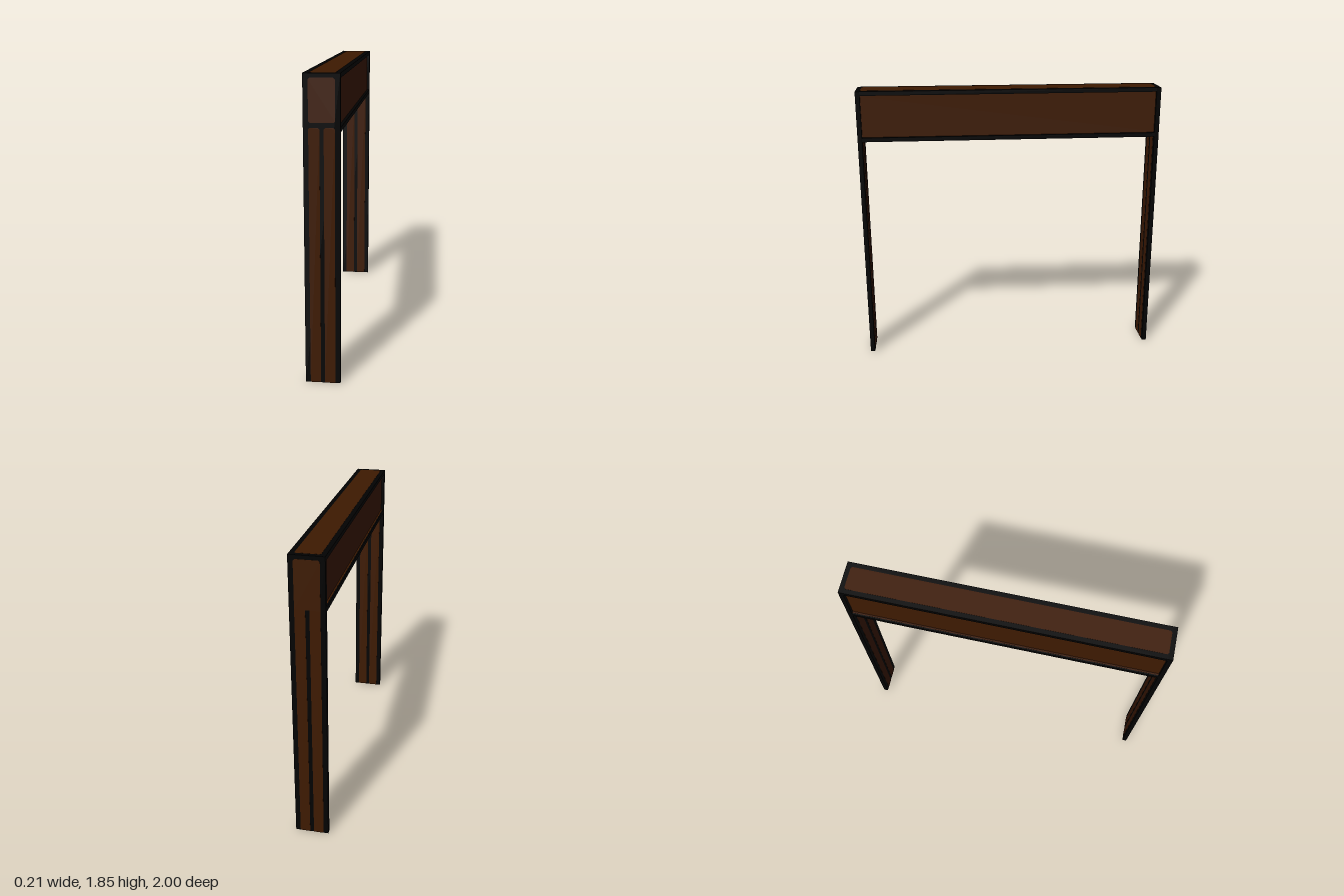
import * as THREE from 'three';

export function createModel() {
  const root = new THREE.Group();
  const frame = new THREE.MeshStandardMaterial({ color: 0x020202 });
  frame.name = 'black frame';
  const wood = new THREE.MeshStandardMaterial({ color: 0x3e1a01 });
  wood.name = 'dark brown wood';

  // Box given by its min and max corners
  function box(name, mat, x0, x1, y0, y1, z0, z1) {
    const m = new THREE.Mesh(new THREE.BoxGeometry(x1 - x0, y1 - y0, z1 - z0), mat);
    m.position.set((x0 + x1) / 2, (y0 + y1) / 2, (z0 + z1) / 2);
    m.name = name;
    root.add(m);
  }

  // Thin plate in the XY plane facing +z, with clipped corners (c0 bottom, c1 top)
  const T = 0.001;
  function plate(name, x0, x1, y0, y1, c0, c1, parent) {
    const s = new THREE.Shape();
    s.moveTo(x0 + c0, y0);
    s.lineTo(x1 - c0, y0);
    s.lineTo(x1, y0 + c0);
    s.lineTo(x1, y1 - c1);
    s.lineTo(x1 - c1, y1);
    s.lineTo(x0 + c1, y1);
    s.lineTo(x0, y1 - c1);
    s.lineTo(x0, y0 + c0);
    s.closePath();
    const m = new THREE.Mesh(new THREE.ExtrudeGeometry(s, { depth: T, bevelEnabled: false }), wood);
    m.name = name;
    parent.add(m);
  }

  // Group whose local +z is the outward direction of a face
  function face(name, x, y, z, rx, ry) {
    const g = new THREE.Group();
    g.name = name;
    g.position.set(x, y, z);
    g.rotation.set(rx, ry, 0);
    root.add(g);
    return g;
  }

  const W = 0.105, H = 1.85, L = 1, IN = 0.97; // half width, height, half length, inner leg face
  const P = 0.075, C = 0.012;                  // panel edge and half centre strip
  const D = 0.085;                             // half width of the recessed beam core
  const pair = [[-P, -C], [C, P]];

  // Legs with paired panels on the inner face
  for (const s of [1, -1]) {
    const [a, b] = s > 0 ? [IN, L - T] : [-L + T, -IN];
    box(s > 0 ? 'frontLeg' : 'backLeg', frame, -W, W, 0, H - T, a, b);
    const inner = face('innerLegPanels', 0, 0, s * IN, 0, s > 0 ? Math.PI : 0);
    for (const [x0, x1] of pair) plate('innerPanel', x0, x1, 0, 1.53, 0, 0, inner);
  }

  // Front face: square panel above two long panels
  const front = face('frontPanels', 0, 0, L - T, 0, 0);
  plate('frontTopPanel', -P, P, 1.575, 1.825, 0.008, 0.01, front);
  for (const [x0, x1] of pair) plate('frontLegPanel', x0, x1, 0, 1.547, 0, 0.008, front);

  // Back face: one full-height panel, split by a centre strip in the lower part
  const back = face('backPanels', 0, 0, -L + T, 0, Math.PI);
  plate('backTopPanel', -P, P, 1.53, 1.825, 0, 0.01, back);
  for (const [x0, x1] of pair) plate('backLegPanel', x0, x1, 0, 1.53, 0, 0, back);

  // Beam: recessed core between a top slab and two bottom rails
  box('beamCore', frame, -D, D, 1.536, 1.83, -IN, IN);
  box('beamTop', frame, -W, W, 1.822, H - T, -IN, IN);
  for (const s of [1, -1]) {
    const [a, b] = s > 0 ? [P, W] : [-W, -P];
    box('bottomRail', frame, a, b, 1.52, 1.547, -IN, IN);
    const side = face('beamSide', s * D, 0, 0, 0, s * Math.PI / 2);
    plate('sidePanel', -IN, IN, 1.547, 1.822, 0.006, 0.006, side);
  }
  box('sideLedge', wood, -0.096, -D, 1.546, 1.548, -IN, IN);

  // Underside panels, centre strip and wooden lining of one rail
  for (const [x0, x1] of pair) box('bottomPanel', wood, x0, x1, 1.534, 1.537, -IN, IN);
  box('bottomCentreRail', frame, -C, C, 1.531, 1.537, -IN, IN);
  box('railLining', wood, -P - 0.001, -P + 0.001, 1.521, 1.537, -IN, IN);

  // Top panel
  const top = face('top', 0, H - T, 0, -Math.PI / 2, 0);
  plate('topPanel', -P, P, -IN, IN, 0.01, 0.01, top);

  return root;
}
